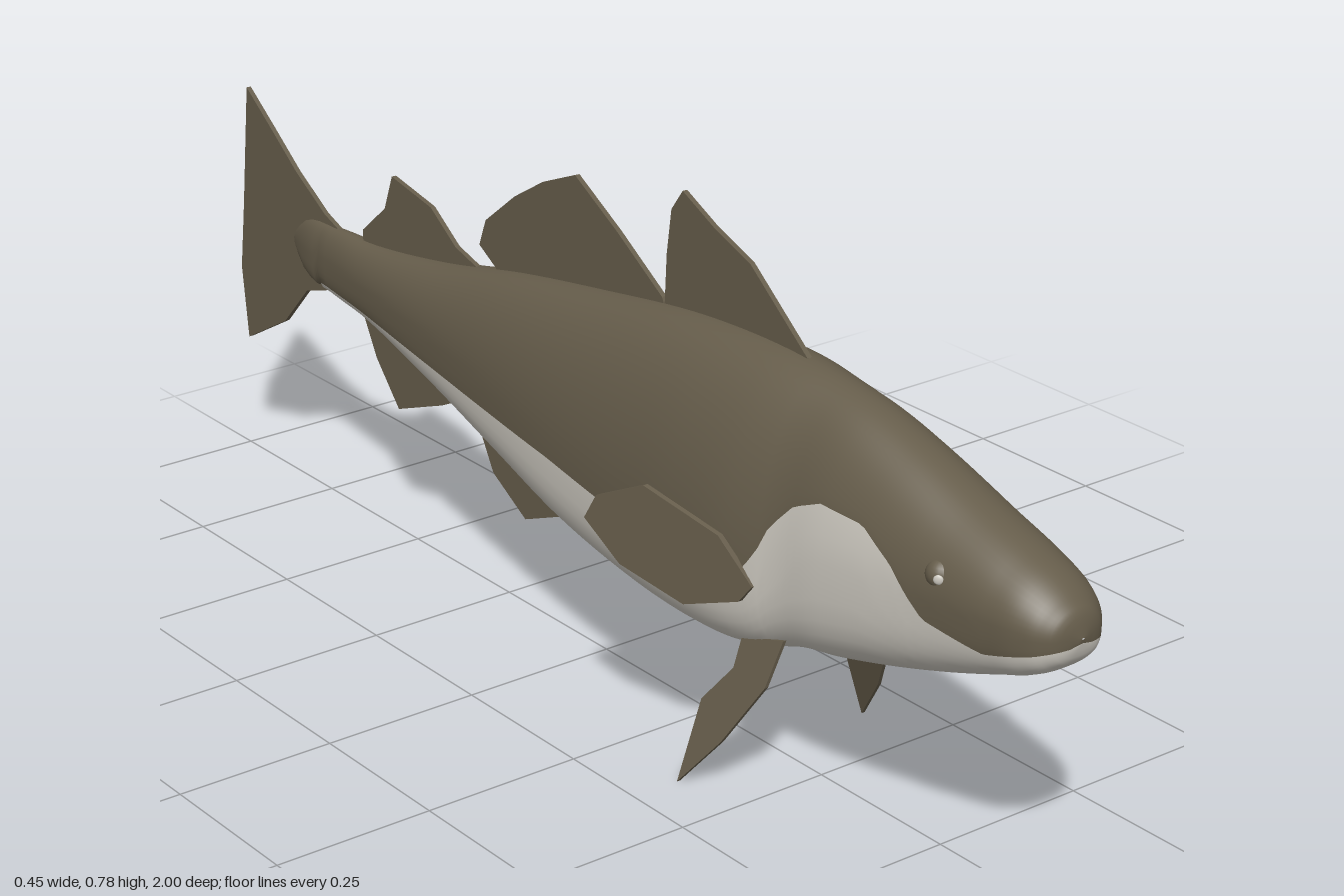
import * as THREE from 'three';

const brown = new THREE.MeshStandardMaterial({ color: 0x665d4b });
brown.name = 'olive brown skin';
const pale = new THREE.MeshStandardMaterial({ color: 0xcdc9c0 });
pale.name = 'pale belly';

// z, underside y, back y, half width, height fraction of the widest level
const SECTIONS = [
  [-0.84, 0.415, 0.425, 0.002, 0.5],
  [-0.80, 0.375, 0.460, 0.014, 0.5],
  [-0.70, 0.358, 0.472, 0.026, 0.5],
  [-0.60, 0.350, 0.476, 0.038, 0.5],
  [-0.40, 0.310, 0.505, 0.063, 0.48],
  [-0.20, 0.262, 0.548, 0.088, 0.43],
  [0.00, 0.215, 0.582, 0.111, 0.38],
  [0.20, 0.190, 0.612, 0.128, 0.34],
  [0.32, 0.187, 0.621, 0.136, 0.33],
  [0.42, 0.193, 0.622, 0.135, 0.33],
  [0.47, 0.204, 0.619, 0.127, 0.34],
  [0.52, 0.220, 0.613, 0.115, 0.37],
  [0.60, 0.236, 0.598, 0.113, 0.42],
  [0.70, 0.262, 0.568, 0.107, 0.46],
  [0.80, 0.292, 0.533, 0.096, 0.50],
  [0.90, 0.328, 0.500, 0.083, 0.50],
  [0.95, 0.347, 0.478, 0.071, 0.50],
  [0.98, 0.366, 0.455, 0.052, 0.50],
  [0.995, 0.387, 0.434, 0.028, 0.50],
  [1.00, 0.409, 0.411, 0.002, 0.50],
];

// z and height of the line between brown back and pale belly
const COLOUR_LINE = [
  [-0.84, 0.3], [-0.78, 0.34], [-0.74, 0.374], [-0.6, 0.37], [-0.3, 0.358],
  [0, 0.345], [0.25, 0.322], [0.4, 0.315], [0.46, 0.335], [0.49, 0.375],
  [0.51, 0.42], [0.55, 0.462], [0.6, 0.483], [0.68, 0.48], [0.74, 0.445],
  [0.775, 0.41], [0.8, 0.388], [0.9, 0.372], [0.97, 0.39], [1, 0.4],
];

const interpolant = (Type, rows) => new Type(
  rows.map(r => r[0]), rows.flatMap(r => r.slice(1)), rows[0].length - 1);

function bodyGeometry() {
  const shape = interpolant(THREE.CubicInterpolant, SECTIONS);
  const line = interpolant(THREE.LinearInterpolant, COLOUR_LINE);
  const rings = 130, upper = 28, lower = 20, around = upper + lower;
  const positions = [], index = [];

  for (let i = 0; i <= rings; i++) {
    const z = -0.84 + 1.84 * (1 - Math.pow(1 - i / rings, 1.5));
    const [bottom, top, half, fraction] = shape.evaluate(z);
    const mid = bottom + (top - bottom) * fraction;
    const edge = THREE.MathUtils.clamp(line.evaluate(z)[0], bottom, top);
    // angle at which this section crosses the colour line
    const start = edge > mid
      ? Math.asin((edge - mid) / (top - mid))
      : -Math.asin(Math.pow((mid - edge) / (mid - bottom), 1.5));
    for (let j = 0; j < around; j++) {
      const a = j < upper
        ? start + (Math.PI - 2 * start) * j / upper
        : Math.PI - start + (Math.PI + 2 * start) * (j - upper) / lower;
      const s = Math.sin(a), c = Math.cos(a);
      // rounded back, fuller and flatter belly
      const power = s < 0 ? 2 / 3 : 1;
      positions.push(
        half * Math.sign(c) * Math.pow(Math.abs(c), power),
        s < 0 ? mid - (mid - bottom) * Math.pow(-s, power) : mid + (top - mid) * s,
        z);
    }
  }

  const geometry = new THREE.BufferGeometry();
  [[0, upper], [upper, around]].forEach(([from, to], material) => {
    const first = index.length;
    for (let i = 0; i < rings; i++) {
      for (let j = from; j < to; j++) {
        const a = i * around + j, b = i * around + (j + 1) % around;
        index.push(a, b, a + around, b, b + around, a + around);
      }
    }
    geometry.addGroup(first, index.length - first, material);
  });
  geometry.setAttribute('position', new THREE.Float32BufferAttribute(positions, 3));
  geometry.setIndex(index);
  geometry.computeVertexNormals();
  return geometry;
}

// Thin fin from a side outline of [z, y] points; offset(z, y) leans it sideways
function fin(name, outline, offset = () => 0, thickness = 0.008) {
  const shape = new THREE.Shape(outline.map(([z, y]) => new THREE.Vector2(-z, y)));
  const geometry = new THREE.ExtrudeGeometry(shape, { depth: thickness, bevelEnabled: false });
  geometry.translate(0, 0, -thickness / 2).rotateY(Math.PI / 2);
  const p = geometry.attributes.position;
  for (let i = 0; i < p.count; i++) {
    p.setX(i, p.getX(i) + offset(p.getZ(i), p.getY(i)));
  }
  geometry.computeVertexNormals();
  const mesh = new THREE.Mesh(geometry, brown);
  mesh.name = name;
  return mesh;
}

export function createModel() {
  const fish = new THREE.Group();
  fish.name = 'fish';

  const body = new THREE.Mesh(bodyGeometry(), [brown, pale]);
  body.name = 'body';
  fish.add(body);

  // Fins on the centre line
  fish.add(
    fin('frontDorsalFin', [[0.455, 0.6], [0.455, 0.62], [0.33, 0.72], [0.25, 0.75],
      [0.18, 0.784], [0.155, 0.75], [0.145, 0.68], [0.14, 0.58]]),
    fin('middleDorsalFin', [[0.15, 0.58], [0.135, 0.612], [0.03, 0.68], [-0.07, 0.738],
      [-0.15, 0.705], [-0.22, 0.663], [-0.295, 0.604], [-0.312, 0.56], [-0.27, 0.535], [-0.25, 0.5]]),
    fin('rearDorsalFin', [[-0.28, 0.48], [-0.29, 0.512], [-0.375, 0.537], [-0.44, 0.583],
      [-0.545, 0.604], [-0.567, 0.545], [-0.63, 0.492], [-0.63, 0.45]]),
    fin('frontAnalFin', [[0.03, 0.25], [0.03, 0.225], [-0.1, 0.185], [-0.2, 0.144],
      [-0.283, 0.193], [-0.326, 0.27], [-0.32, 0.32]]),
    fin('rearAnalFin', [[-0.32, 0.34], [-0.33, 0.303], [-0.42, 0.26], [-0.54, 0.214],
      [-0.6, 0.283], [-0.636, 0.35], [-0.62, 0.38]]),
    fin('tailFin', [[-0.685, 0.465], [-0.74, 0.486], [-0.82, 0.535], [-0.89, 0.588],
      [-0.963, 0.642], [-0.985, 0.44], [-1, 0.32], [-0.985, 0.198], [-0.87, 0.262],
      [-0.8, 0.337], [-0.7, 0.368]]),
  );

  // Paired fins and eyes
  for (const [side, label] of [[1, 'left'], [-1, 'right']]) {
    fish.add(
      fin(label + 'PectoralFin', [[0.49, 0.325], [0.44, 0.39], [0.33, 0.438], [0.26, 0.406],
        [0.242, 0.368], [0.295, 0.31], [0.39, 0.273], [0.47, 0.298]],
      z => side * (0.125 + (0.48 - z) * 0.4)),
      fin(label + 'PelvicFin', [[0.52, 0.245], [0.44, 0.225], [0.44, 0.18], [0.395, 0.12],
        [0.392, 0], [0.455, 0.08], [0.51, 0.176]],
      (z, y) => side * (0.093 + (0.235 - y) * 0.335), 0.006),
    );

    const eye = new THREE.Group();
    eye.name = label + 'Eye';
    const ball = new THREE.Mesh(new THREE.SphereGeometry(0.022, 20, 14), brown);
    ball.name = 'eyeball';
    const iris = new THREE.Mesh(new THREE.SphereGeometry(0.007, 12, 8), pale);
    iris.name = 'iris';
    iris.scale.z = 0.4;
    iris.position.set(side * 0.0172, 0, 0.013);
    iris.rotation.y = side * 0.92;
    eye.add(ball, iris);
    eye.position.set(side * 0.073, 0.452, 0.81);
    fish.add(eye);
  }
  return fish;
}
